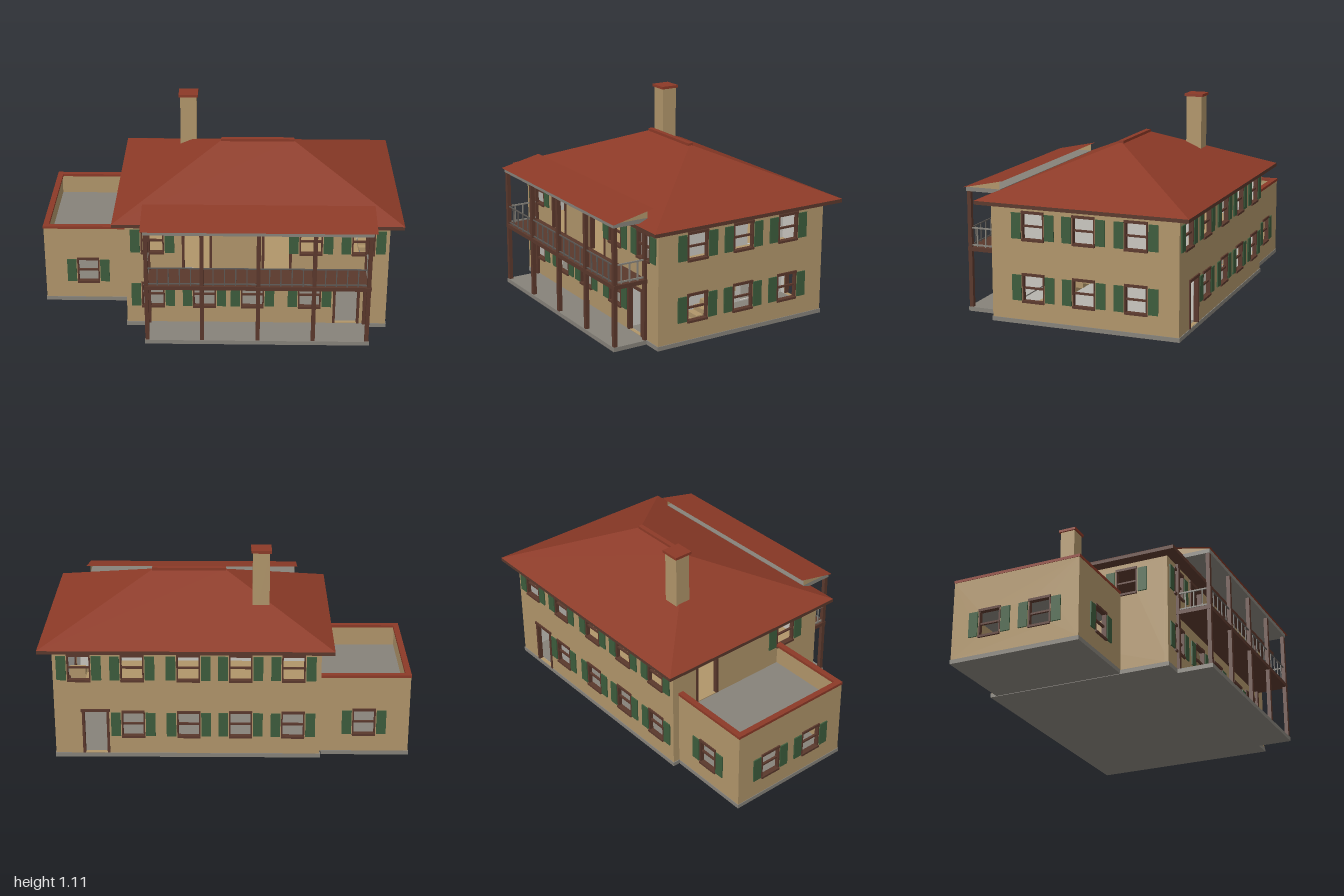
import * as THREE from 'three';

const mat = (name, color, extra = {}) => {
  const m = new THREE.MeshStandardMaterial({ color, flatShading: true, ...extra });
  m.name = name;
  return m;
};

export function createModel() {
  const house = new THREE.Group();
  house.name = 'house';
  const both = { side: THREE.DoubleSide };
  const stucco = mat('tan stucco', 0xb0956a, both);
  const tile = mat('red roof tile', 0x8c3a27, both);
  const wood = mat('brown wood', 0x5a382c);
  const green = mat('green shutter', 0x3c5c3c);
  const stone = mat('grey stone', 0x86827a);
  const plaster = mat('light plaster', 0xc9c6bf, both);
  const metal = mat('dark railing', 0x5c5854);

  const add = (parent, name, geo, material) => {
    const mesh = new THREE.Mesh(geo, material);
    mesh.name = name;
    parent.add(mesh);
    return mesh;
  };
  // box given by its minimum and maximum on each axis
  const box = (parent, name, m, x0, x1, y0, y1, z0, z1) => {
    const b = add(parent, name, new THREE.BoxGeometry(x1 - x0, y1 - y0, z1 - z0), m);
    b.position.set((x0 + x1) / 2, (y0 + y1) / 2, (z0 + z1) / 2);
    return b;
  };
  const rectShape = (x0, x1, y0, y1, holes = []) => {
    const trace = (p, a, b, c, d) => p.moveTo(a, c).lineTo(b, c).lineTo(b, d).lineTo(a, d).closePath();
    const s = trace(new THREE.Shape(), x0, x1, y0, y1);
    holes.forEach(h => s.holes.push(trace(new THREE.Path(), ...h)));
    return s;
  };

  // Window: frame, sash bar and two shutters
  const LOW = [0.125, 0.267], UP = [0.457, 0.599];
  const addWindow = (wall, u, [y0, y1]) => {
    const g = new THREE.Group();
    g.name = 'window';
    g.position.x = u;
    wall.add(g);
    box(g, 'windowHeader', wood, -0.063, 0.063, y1 - 0.004, y1 + 0.01, -0.02, 0.008);
    box(g, 'windowSill', wood, -0.063, 0.063, y0 - 0.008, y0 + 0.004, -0.02, 0.01);
    box(g, 'sashBar', wood, -0.058, 0.058, (y0 + y1) / 2 - 0.005, (y0 + y1) / 2 + 0.005, -0.016, -0.004);
    for (const s of [-1, 1]) {
      box(g, 'windowJamb', wood, s * 0.059 - 0.004, s * 0.059 + 0.004, y0, y1, -0.02, 0.004);
      box(g, 'shutter', green, s * 0.094 - 0.026, s * 0.094 + 0.026, y0 + 0.002, y1 - 0.002, 0, 0.007);
    }
  };
  const addDoorFrame = (wall, [u0, u1, y0, y1]) => {
    const g = new THREE.Group();
    g.name = 'doorFrame';
    wall.add(g);
    box(g, 'doorHeader', wood, u0 - 0.012, u1 + 0.012, y1 - 0.004, y1 + 0.012, -0.02, 0.008);
    for (const u of [u0, u1]) box(g, 'doorJamb', wood, u - 0.007, u + 0.007, y0, y1, -0.02, 0.006);
  };
  // Wall in its own frame: x along, z outward; openings become holes
  const T = 0.022;
  const addWall = (name, x, z, turn, [u0, u1, y0, y1], windows, doors = [], inner = plaster) => {
    const g = new THREE.Group();
    g.name = name;
    g.position.set(x, 0, z);
    g.rotation.y = turn;
    house.add(g);
    const holes = windows.map(([u, [a, b]]) => [u - 0.06, u + 0.06, a, b]).concat(doors);
    const s = rectShape(u0, u1, y0, y1, holes);
    const shell = add(g, name + 'Shell', new THREE.ExtrudeGeometry(s, { depth: T, bevelEnabled: false }), stucco);
    shell.position.z = -T;
    if (inner) {
      const lining = rectShape(u0 + T, u1 - T, y0, y1, holes);
      add(g, name + 'Lining', new THREE.ShapeGeometry(lining), inner).position.z = -T - 0.001;
    }
    windows.forEach(([u, span]) => addWindow(g, u, span));
    doors.forEach(d => addDoorFrame(g, d));
  };

  // Main block walls
  const Y = [0.02, 0.64], COLS = [-0.363, -0.08, 0.2, 0.5];
  const SIDE = [-0.21, 0.075, 0.363];
  addWall('frontWall', 0, 0.448, 0, [-0.51, 0.925, ...Y],
    [[-0.363, LOW], [-0.08, LOW], [0.185, LOW], [0.5, LOW], [-0.363, UP], [0.5, UP], [0.785, UP]],
    [[0.637, 0.77, 0.025, 0.275], [-0.195, -0.045, 0.355, 0.615], [0.24, 0.39, 0.355, 0.615]]);
  addWall('backWall', 0, -0.595, Math.PI, [-0.925, 0.51, ...Y],
    [...COLS.map(c => [-c, LOW]), ...[...COLS, 0.785].map(c => [-c, UP])],
    [[-0.77, -0.637, 0.025, 0.275]]);
  addWall('leftWall', 0.925, 0, Math.PI / 2, [-0.448, 0.595, ...Y],
    SIDE.flatMap(u => [[u, LOW], [u, UP]]));
  addWall('rightWall', -0.51, 0, -Math.PI / 2, [-0.595, 0.448, ...Y],
    [[0.21, UP]], [[-0.43, -0.29, 0.355, 0.61], [-0.4, -0.27, 0.025, 0.27]]);

  // Interior floors, partitions and stairs
  box(house, 'mainSlab', stone, -0.514, 0.929, 0, 0.023, -0.599, 0.452);
  box(house, 'upperFloor', stucco, -0.49, 0.78, 0.33, 0.348, -0.575, 0.428);
  box(house, 'spinePartition', plaster, -0.49, 0.6, 0.023, 0.637, -0.085, -0.075);
  const cross = rectShape(-0.428, 0.575, 0.023, 0.637,
    [[-0.2, -0.155, 0.35, 0.59], [0.33, 0.42, 0.35, 0.59], [0.29, 0.36, 0.03, 0.27]]);
  const crossWall = add(house, 'crossPartition',
    new THREE.ExtrudeGeometry(cross, { depth: 0.01, bevelEnabled: false }), plaster);
  crossWall.rotation.y = Math.PI / 2;
  crossWall.position.x = 0.6;
  const STEPS = 12;
  for (let i = 0; i < STEPS; i++) {
    const z = 0.31 - i * 0.04, y = 0.05 + i * 0.026;
    box(house, 'stairStep', stucco, 0.8, 0.89, Math.max(0.023, y - 0.04), y, z - 0.045, z);
  }
  const handrail = box(house, 'stairHandrail', metal, 0.797, 0.803, 0.177, 0.183, 0.03, 0.39);
  handrail.rotation.x = Math.atan(0.65);

  // Single-storey wing with roof terrace
  const W = [0.02, 0.462];
  addWall('wingFrontWall', 0, 0.176, 0, [-0.995, -0.51, ...W], [[-0.75, LOW]], [], null);
  addWall('wingBackWall', 0, -0.556, Math.PI, [0.51, 0.995, ...W], [[0.75, LOW]], [], null);
  addWall('wingEndWall', -0.995, 0, -Math.PI / 2, [-0.556, 0.176, ...W], [[-0.335, LOW], [-0.045, LOW]], [], null);
  box(house, 'wingSlab', stone, -0.998, -0.52, 0, 0.023, -0.559, 0.179);
  box(house, 'terraceFloor', stone, -0.975, -0.51, 0.33, 0.35, -0.536, 0.156);
  box(house, 'copingEnd', tile, -0.998, -0.966, 0.46, 0.475, -0.559, 0.179);
  box(house, 'copingFront', tile, -0.966, -0.51, 0.46, 0.475, 0.147, 0.179);
  box(house, 'copingBack', tile, -0.966, -0.51, 0.46, 0.475, -0.559, -0.527);

  // Hipped main roof
  box(house, 'eaves', wood, -0.576, 0.994, 0.636, 0.656, -0.666, 0.511);
  const A = [-0.577, 0.656, 0.512], B = [0.995, 0.656, 0.512], C = [0.995, 0.656, -0.667], D = [-0.577, 0.656, -0.667];
  const R0 = [0.01, 0.905, -0.078], R1 = [0.408, 0.905, -0.078];
  const faces = [A, B, R1, A, R1, R0, B, C, R1, C, D, R0, C, R0, R1, D, A, R0];
  const roof = new THREE.BufferGeometry();
  roof.setAttribute('position', new THREE.Float32BufferAttribute(faces.flat(), 3));
  roof.computeVertexNormals();
  add(house, 'mainRoof', roof, tile);
  box(house, 'ridgeCap', tile, 0.003, 0.415, 0.895, 0.914, -0.092, -0.064);

  // Chimney
  box(house, 'chimney', stucco, -0.235, -0.143, 0.65, 1.092, -0.342, -0.253);
  box(house, 'chimneyCap', tile, -0.244, -0.134, 1.09, 1.105, -0.351, -0.244);

  // Two-storey porch
  const P0 = -0.4, P1 = 0.82;
  box(house, 'porchSlab', stone, P0, P1, 0, 0.023, 0.45, 0.648);
  box(house, 'balconyFloor', wood, P0, P1, 0.335, 0.357, 0.448, 0.646);
  box(house, 'porchCeiling', stone, P0, P1, 0.663, 0.686, 0.448, 0.648);
  const posts = [-0.387, -0.089, 0.214, 0.514, 0.806];
  for (const x of posts) box(house, 'porchPost', wood, x - 0.011, x + 0.011, 0.022, 0.664, 0.623, 0.645);
  for (const x of [posts[0], posts[4]]) box(house, 'rearPost', wood, x - 0.011, x + 0.011, 0.022, 0.664, 0.446, 0.464);

  // Balcony railing
  for (const y of [0.367, 0.461]) {
    box(house, 'frontRail', metal, posts[0], posts[4], y - 0.003, y + 0.003, 0.631, 0.637);
    for (const x of [posts[0], posts[4]]) box(house, 'sideRail', stone, x - 0.004, x + 0.004, y - 0.004, y + 0.004, 0.45, 0.634);
  }
  for (let i = 0; i < 4; i++)
    for (let k = 1; k < 5; k++) {
      const x = posts[i] + (posts[i + 1] - posts[i]) * k / 5;
      box(house, 'baluster', metal, x - 0.003, x + 0.003, 0.357, 0.464, 0.631, 0.637);
    }
  for (const x of [posts[0], posts[4]])
    for (const z of [0.498, 0.545, 0.594]) box(house, 'sideBaluster', stone, x - 0.003, x + 0.003, 0.357, 0.461, z - 0.003, z + 0.003);

  // Sloped porch roof with triangular ends
  const slope = new THREE.PlaneGeometry(1.255, Math.hypot(0.236, 0.051));
  const porchRoof = add(house, 'porchRoof', slope, tile);
  porchRoof.rotation.x = -Math.atan2(0.236, 0.051);
  porchRoof.position.set(0.2125, 0.7105, 0.54);
  const gable = new THREE.Shape([[-0.646, 0.686], [-0.448, 0.686], [-0.448, 0.729]].map(p => new THREE.Vector2(...p)));
  for (const x of [P0, P1]) {
    const end = add(house, 'porchGable', new THREE.ShapeGeometry(gable), stucco);
    end.rotation.y = Math.PI / 2;
    end.position.x = x;
  }
  return house;
}
